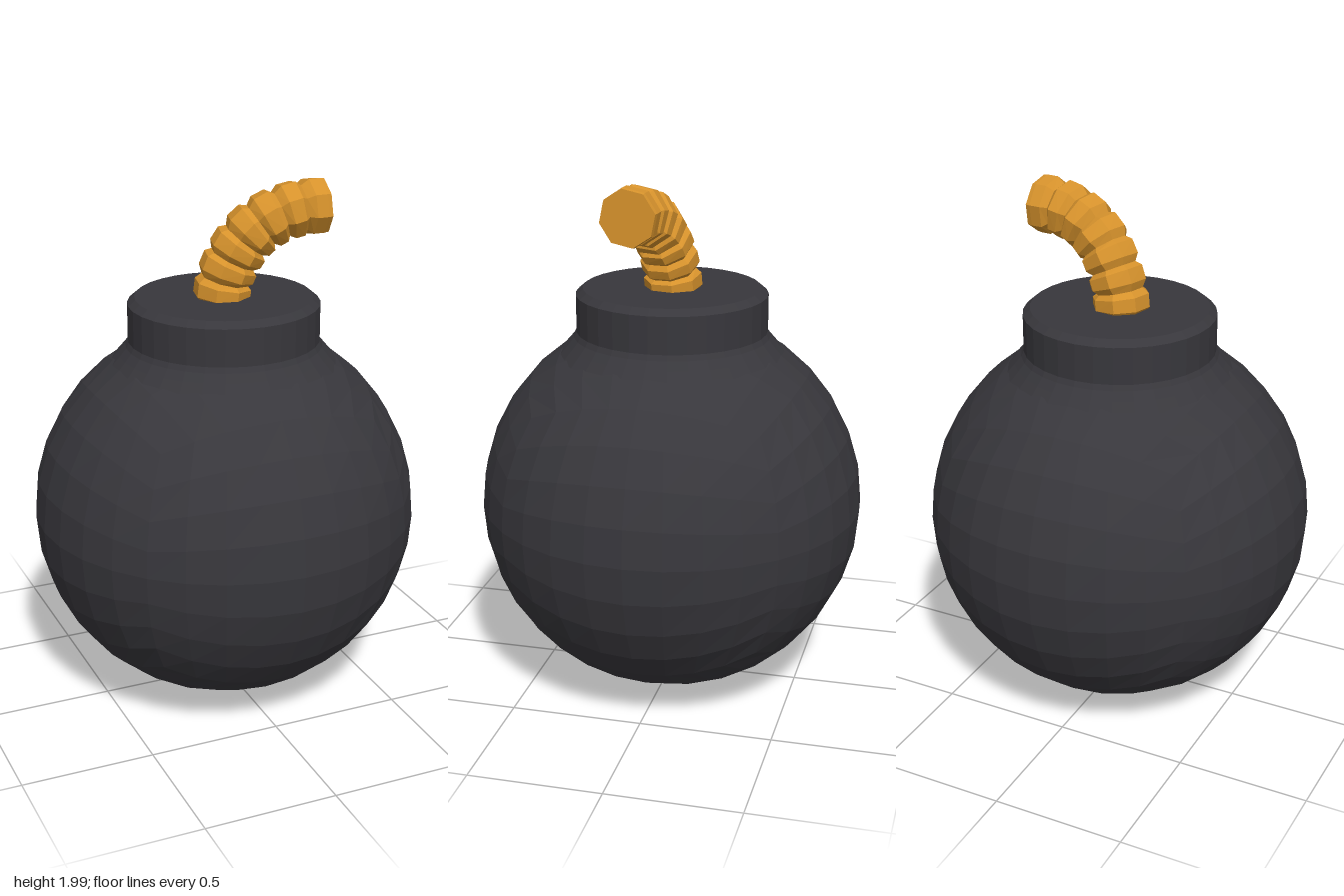
import * as THREE from 'three';

const iron = new THREE.MeshStandardMaterial({ color: 0x38373c, flatShading: true });
iron.name = 'darkIron';
const rope = new THREE.MeshStandardMaterial({ color: 0xd6922c, flatShading: true });
rope.name = 'orangeRope';

function part(name, geometry, material) {
  const mesh = new THREE.Mesh(geometry, material);
  mesh.name = name;
  return mesh;
}

// Ball made from a subdivided cube pushed out to a sphere, with equal angles per cell
function ballGeometry(radius, cells) {
  const g = new THREE.BoxGeometry(2, 2, 2, cells, cells, cells);
  const p = g.attributes.position;
  const v = new THREE.Vector3();
  const warp = (t) => Math.tan((t * Math.PI) / 4);
  for (let i = 0; i < p.count; i++) {
    v.fromBufferAttribute(p, i);
    v.set(warp(v.x), warp(v.y), warp(v.z)).setLength(radius);
    p.setXYZ(i, v.x, v.y, v.z);
  }
  g.computeVertexNormals();
  return g;
}

// Beaded eight-sided rope swept along a curve, closed at both ends
function ropeGeometry(curve, beads, sides) {
  const stations = [];
  for (let b = 0; b < beads; b++) {
    const last = b === beads - 1;
    stations.push([b / beads, 0.088], [(b + 0.28) / beads, 0.108], [(b + 0.8) / beads, 0.108]);
    if (last) stations.push([1, 0.105]);
  }
  const across = new THREE.Vector3(0, 0, 1);
  const verts = [];
  const index = [];
  for (const [t, r] of stations) {
    const c = curve.getPointAt(t);
    const tangent = curve.getTangentAt(t);
    const n = new THREE.Vector3().crossVectors(across, tangent).normalize();
    const s = new THREE.Vector3().crossVectors(tangent, n);
    for (let k = 0; k < sides; k++) {
      const a = ((k + 0.25) / sides) * Math.PI * 2;
      const q = c.clone().addScaledVector(n, Math.cos(a) * r).addScaledVector(s, Math.sin(a) * r);
      verts.push(q.x, q.y, q.z);
    }
  }
  const rings = stations.length;
  for (let i = 0; i < rings - 1; i++) {
    for (let k = 0; k < sides; k++) {
      const a = i * sides + k;
      const b = i * sides + ((k + 1) % sides);
      index.push(a, b, b + sides, a, b + sides, a + sides);
    }
  }
  const end = (rings - 1) * sides;
  for (let k = 1; k < sides - 1; k++) {
    index.push(0, k + 1, k);
    index.push(end, end + k, end + k + 1);
  }
  const g = new THREE.BufferGeometry();
  g.setAttribute('position', new THREE.Float32BufferAttribute(verts, 3));
  g.setIndex(index);
  g.computeVertexNormals();
  return g;
}

export function createModel() {
  const model = new THREE.Group();
  model.name = 'roundBomb';

  // Round body
  const body = part('body', ballGeometry(0.73, 8), iron);
  body.position.y = 0.737;
  model.add(body);

  // Neck with a flared foot and a bevelled flat lid
  const profile = [
    [0.43, 1.32], [0.395, 1.36], [0.37, 1.39], [0.36, 1.41],
    [0.36, 1.55], [0.333, 1.573], [0, 1.573],
  ].map(([x, y]) => new THREE.Vector2(x, y));
  model.add(part('neck', new THREE.LatheGeometry(profile, 32), iron));

  // Curved fuse leaning to the model's left and slightly forward
  const path = new THREE.CatmullRomCurve3([
    [-0.01, 1.55, -0.005], [0, 1.63, 0], [0.03, 1.71, 0.01], [0.075, 1.785, 0.025],
    [0.135, 1.84, 0.04], [0.205, 1.875, 0.055], [0.28, 1.892, 0.065], [0.365, 1.895, 0.07],
  ].map((p) => new THREE.Vector3(...p)));
  model.add(part('fuse', ropeGeometry(path, 7, 8), rope));

  return model;
}
